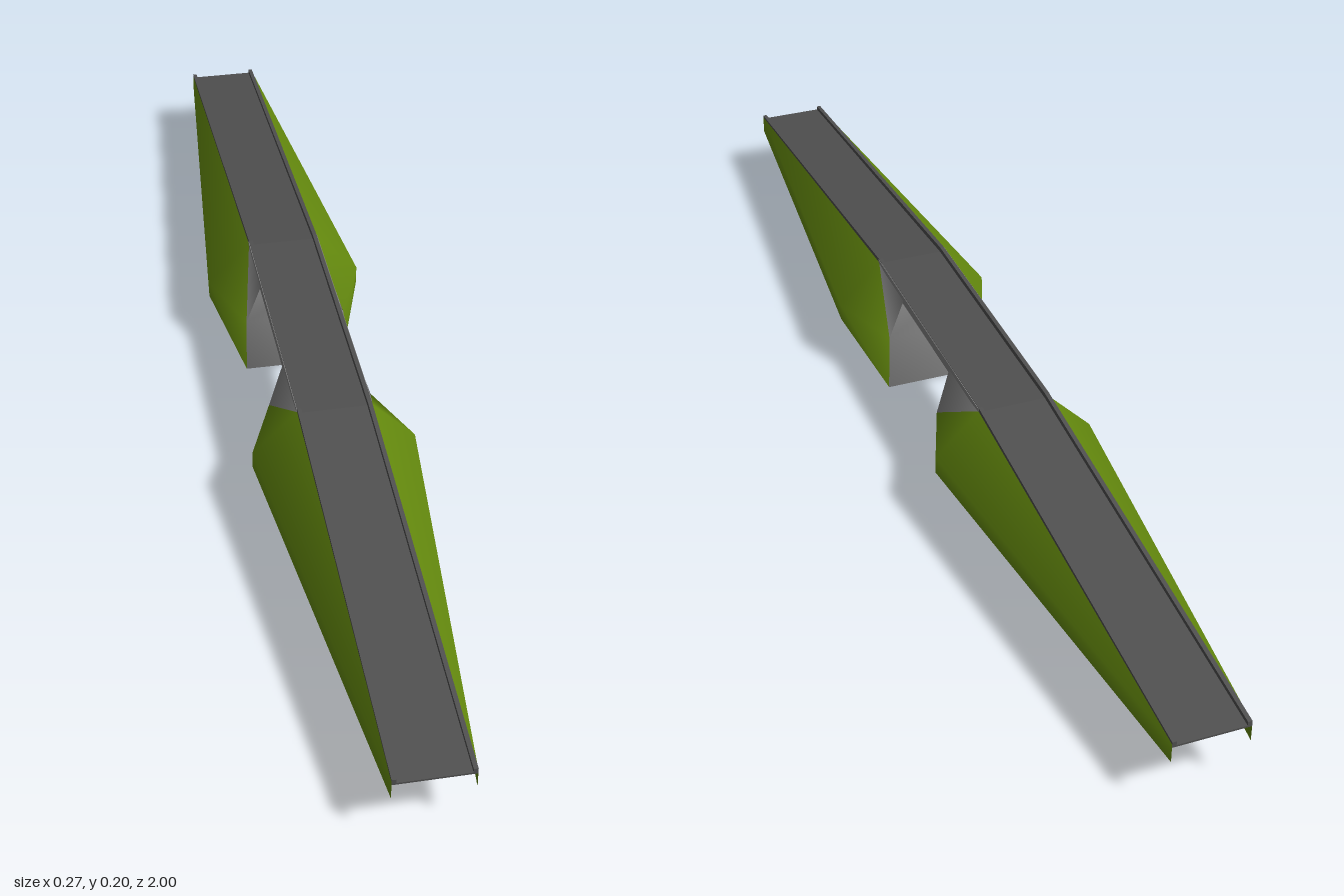
import * as THREE from 'three';

const mat = (name, color, side = THREE.FrontSide) => {
  const m = new THREE.MeshStandardMaterial({ color, side });
  m.name = name;
  return m;
};

// Extrude an outline of [z, y] points across x, from x0 to x1.
function acrossX(points, x0, x1, material, name) {
  const shape = new THREE.Shape(points.map(([z, y]) => new THREE.Vector2(z, y)));
  const geo = new THREE.ExtrudeGeometry(shape, { depth: x1 - x0, bevelEnabled: false });
  geo.rotateY(-Math.PI / 2);
  geo.translate(x1, 0, 0);
  const mesh = new THREE.Mesh(geo, material);
  mesh.name = name;
  return mesh;
}

// One earth ramp with its abutment, on the +z side; both x halves share normals.
function rampGeometry() {
  const side = [
    [0.062, 0.118, 1],     // 0 end, top
    [0.062, 0.085, 1],     // 1 end, foot
    [0.062, 0.190, 0.25],  // 2 crest
    [0.137, 0.115, 0.25],  // 3 widest, top
    [0.137, 0.085, 0.25],  // 4 widest, foot
    [0.088, 0, 0.13],      // 5 wall foot
    [0.088, 0.11, 0.122],  // 6 wall shoulder
    [0.062, 0.190, 0.115], // 7 wall top
    [0.055, 0.182, 0.145], // 8 recess below the deck
  ];
  const n = side.length;
  const positions = [1, -1].flatMap((s) => side.flatMap(([x, y, z]) => [s * x, y, z]));
  const mirror = (tris) => tris.flatMap(([a, b, c]) => [a, b, c, a + n, c + n, b + n]);

  const grass = mirror([[2, 0, 3], [0, 1, 4], [0, 4, 3], [3, 4, 5], [3, 5, 6], [2, 3, 6]]);
  const stone = mirror([[2, 6, 7], [6, 8, 7]]);
  // wall facing the gap, then the sloping recess above it
  for (const [a, b] of [[5, 6], [6, 8]]) stone.push(a, a + n, b + n, a, b + n, b);

  const geo = new THREE.BufferGeometry();
  geo.setAttribute('position', new THREE.Float32BufferAttribute(positions, 3));
  geo.setIndex([...grass, ...stone]);
  geo.addGroup(0, grass.length, 0);
  geo.addGroup(grass.length, stone.length, 1);
  geo.computeVertexNormals();
  return geo;
}

export function createModel() {
  const model = new THREE.Group();
  model.name = 'bridge';
  const grass = mat('grass', 0x668c0e, THREE.DoubleSide);
  const concrete = mat('concrete', 0x858585, THREE.DoubleSide);
  const asphalt = mat('asphalt', 0x505050);

  // Ramps at both ends
  const geo = rampGeometry();
  for (const [name, turn] of [['frontRamp', 0], ['backRamp', Math.PI]]) {
    const ramp = new THREE.Mesh(geo, [grass, concrete]);
    ramp.name = name;
    ramp.rotation.y = turn;
    model.add(ramp);
  }

  // Road surface, rising to a flat middle
  model.add(acrossX([
    [-1, 0.112], [-0.25, 0.185], [0.25, 0.185], [1, 0.112],
    [1, 0.115], [0.25, 0.188], [-0.25, 0.188], [-1, 0.115],
  ], -0.06, 0.06, asphalt, 'road'));

  // Slab spanning the gap
  model.add(acrossX([
    [-0.14, 0.181], [0.14, 0.181], [0.14, 0.186], [-0.14, 0.186],
  ], -0.058, 0.058, asphalt, 'deckSlab'));

  // Kerbs, deeper over the gap
  for (const [name, x] of [['leftKerb', 0.0585], ['rightKerb', -0.0585]]) {
    model.add(acrossX([
      [-1, 0.112], [-0.25, 0.185], [-0.12, 0.185], [-0.118, 0.18],
      [0.118, 0.18], [0.12, 0.185], [0.25, 0.185], [1, 0.112],
      [1, 0.122], [0.25, 0.197], [-0.25, 0.197], [-1, 0.122],
    ], x - 0.0035, x + 0.0035, asphalt, name));
  }

  // Pale fascia strips on the span
  for (const s of [1, -1]) {
    model.add(acrossX([
      [-0.25, 0.19], [-0.118, 0.18], [0.118, 0.18], [0.25, 0.19],
      [0.25, 0.196], [-0.25, 0.196],
    ], s * 0.0625 - 0.0005, s * 0.0625 + 0.0005, concrete, s > 0 ? 'leftFascia' : 'rightFascia'));
  }

  return model;
}
